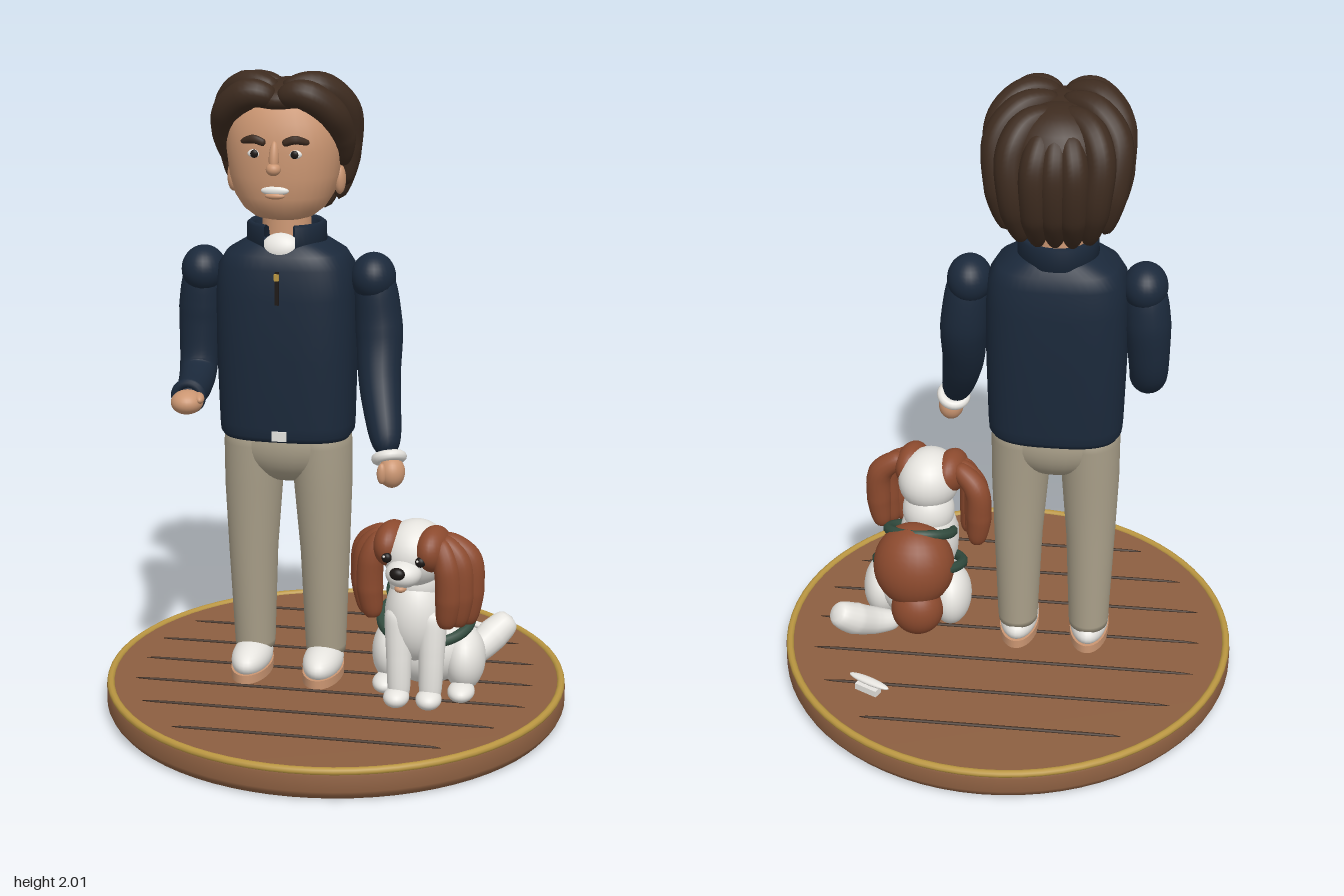
import * as THREE from 'three';
import { mergeVertices } from 'three/addons/utils/BufferGeometryUtils.js';

const paint = (name, color) => new THREE.MeshStandardMaterial({ name, color });
const navy = paint('navy', 0x1b293b), khaki = paint('khaki', 0xaaa08a), skin = paint('skin', 0xcb9672);
const brown = paint('darkBrown', 0x3d2b1f), white = paint('white', 0xe6e4df), wood = paint('wood', 0x8c5f41);
const gold = paint('gold', 0xba9641), rust = paint('rust', 0x8c4a2e), green = paint('green', 0x324c3f);
const black = paint('black', 0x1b1614);
navy.side = THREE.DoubleSide;

function add(parent, name, geo, mat, pos = [0, 0, 0], rot = [0, 0, 0]) {
  const m = new THREE.Mesh(geo, mat);
  m.name = name;
  m.position.set(...pos);
  m.rotation.set(...rot);
  parent.add(m);
  return m;
}

function ball(parent, name, mat, pos, r, rot) {
  const m = add(parent, name, new THREE.SphereGeometry(1, 28, 18), mat, pos, rot);
  m.scale.set(...r);
  return m;
}

// Round-ended tube through points, with a radius for each point
function limb(points, radii, sides = 16, steps = 32) {
  const curve = new THREE.CatmullRomCurve3(points.map(p => new THREE.Vector3(...p)));
  const geo = new THREE.TubeGeometry(curve, steps, 1, sides);
  const p = geo.attributes.position, v = new THREE.Vector3();
  for (let i = 0; i <= steps; i++) {
    const t = i / steps, f = t * (radii.length - 1), k = Math.min(Math.floor(f), radii.length - 2);
    const r = THREE.MathUtils.lerp(radii[k], radii[k + 1], f - k) * Math.sqrt(Math.max(0, 1 - Math.abs(2 * t - 1) ** 10));
    const c = curve.getPointAt(t);
    for (let j = 0; j <= sides; j++) {
      const n = i * (sides + 1) + j;
      v.fromBufferAttribute(p, n).sub(c).multiplyScalar(r).add(c);
      p.setXYZ(n, v.x, v.y, v.z);
    }
  }
  geo.deleteAttribute('uv');
  geo.deleteAttribute('normal');
  const out = mergeVertices(geo, 1e-5);
  out.computeVertexNormals();
  return out;
}

// Stacked rounded-rectangle sections: [y, rx, rz, cx, cz]
function loft(sections, power = 2, n = 36) {
  const pos = [], idx = [], e = 2 / power;
  const first = sections[0], last = sections[sections.length - 1];
  const rows = [[first[0], 0, 0, first[3], first[4]], ...sections, [last[0], 0, 0, last[3], last[4]]];
  rows.forEach(([y, rx, rz, cx = 0, cz = 0], i) => {
    for (let j = 0; j < n; j++) {
      const a = j / n * Math.PI * 2, s = Math.sin(a), c = Math.cos(a);
      pos.push(cx + rx * Math.sign(s) * Math.abs(s) ** e, y, cz + rz * Math.sign(c) * Math.abs(c) ** e);
      if (i < rows.length - 1) {
        const k = (j + 1) % n, q = i * n;
        idx.push(q + j, q + k, q + n + j, q + k, q + n + k, q + n + j);
      }
    }
  });
  const geo = new THREE.BufferGeometry();
  geo.setAttribute('position', new THREE.Float32BufferAttribute(pos, 3));
  geo.setIndex(idx);
  geo.computeVertexNormals();
  return geo;
}

const lathe = (pts, n = 72, ...arc) => new THREE.LatheGeometry(pts.map(p => new THREE.Vector2(...p)), n, ...arc);

function makeBase() {
  const g = new THREE.Group();
  g.name = 'base';
  add(g, 'deck', lathe([[0, 0], [0.69, 0], [0.71, 0.003], [0.722, 0.018], [0.727, 0.03], [0.727, 0.078],
    [0.715, 0.09], [0.7, 0.093], [0, 0.093]]), wood);
  add(g, 'rim', new THREE.TorusGeometry(0.714, 0.012, 10, 72), gold, [0, 0.09, 0], [Math.PI / 2, 0, 0]);
  // Tapered plank grooves
  [0.63, 0.62, 0.55, 0.41].forEach((half, i) => {
    for (const s of i ? [-1, 1] : [1]) {
      const z = s * i * 0.167;
      add(g, 'plankGroove', limb([[-half, 0.094, z], [half, 0.094, z]], [0.006, 0.006], 8), brown);
    }
  });
  // Small chew toy lying on the deck
  ball(g, 'toyTop', white, [0.395, 0.137, -0.377], [0.075, 0.01, 0.016], [0, -0.46, 0]);
  add(g, 'toyFoot', new THREE.BoxGeometry(0.08, 0.022, 0.03), white, [0.4, 0.108, -0.375], [0, -0.46, 0]);
  return g;
}

function makeHead() {
  const g = new THREE.Group();
  g.name = 'head';
  add(g, 'neck', new THREE.CylinderGeometry(0.07, 0.078, 0.16, 28), skin, [0, 1.54, 0]);
  add(g, 'face', loft([[1.565, 0.06, 0.06], [1.575, 0.09, 0.1], [1.6, 0.122, 0.128], [1.64, 0.148, 0.143], [1.7, 0.165, 0.15],
    [1.78, 0.174, 0.152], [1.86, 0.168, 0.145], [1.92, 0.13, 0.11], [1.95, 0.07, 0.06]].map(s => [...s, 0, 0.025]), 2.2), skin);
  ball(g, 'noseBridge', skin, [0, 1.765, 0.178], [0.015, 0.05, 0.018], [-0.2, 0, 0]);
  ball(g, 'noseTip', skin, [0, 1.733, 0.188], [0.022, 0.019, 0.022]);
  ball(g, 'smile', white, [0, 1.667, 0.168], [0.042, 0.014, 0.012]);
  ball(g, 'lowerLip', skin, [0, 1.652, 0.17], [0.03, 0.01, 0.013]);
  for (const s of [-1, 1]) {
    ball(g, 'eye', white, [s * 0.06, 1.775, 0.167], [0.021, 0.013, 0.008]);
    ball(g, 'pupil', black, [s * 0.06, 1.775, 0.172], [0.012, 0.012, 0.006]);
    add(g, 'eyebrow', limb([[s * 0.025, 1.806, 0.177], [s * 0.06, 1.818, 0.174], [s * 0.102, 1.808, 0.158]], [0.011, 0.013, 0.008], 8), brown);
    ball(g, 'ear', skin, [s * 0.163, 1.68, 0.005], [0.018, 0.045, 0.025]);
    // Locks swept outward and back from the centre parting
    const locks = [
      [[0.0, 1.93, 0.125], [0.08, 1.945, 0.135], [0.155, 1.89, 0.1], [0.175, 1.81, 0.04], [0.172, 1.72, 0.0]],
      [[0.0, 1.95, 0.09], [0.1, 1.96, 0.06], [0.168, 1.905, 0.01], [0.178, 1.78, -0.04], [0.17, 1.65, -0.05]],
      [[0.0, 1.955, 0.03], [0.1, 1.95, -0.02], [0.168, 1.88, -0.07], [0.165, 1.74, -0.11], [0.14, 1.6, -0.1]],
      [[0.0, 1.945, -0.04], [0.085, 1.925, -0.09], [0.125, 1.86, -0.14], [0.12, 1.73, -0.16], [0.095, 1.57, -0.11]]];
    locks.forEach(l => add(g, 'sideLock', limb(l.map(([x, y, z]) => [s * x, y, z]), [0.035, 0.046, 0.045, 0.042, 0.025]), brown));
  }
  ball(g, 'scalp', brown, [0, 1.81, -0.045], [0.185, 0.165, 0.155], [-0.15, 0, 0]);
  ball(g, 'crown', brown, [0, 1.925, 0.035], [0.12, 0.052, 0.125]);
  for (let i = -1; i <= 1; i++) {
    const x = i * 0.055;
    add(g, 'backLock', limb([[x * 0.6, 1.92, -0.11], [x, 1.83, -0.172], [x, 1.7, -0.168], [x * 0.9, 1.555, -0.1]], [0.04, 0.045, 0.045, 0.022]), brown);
  }
  return g;
}

function makePerson() {
  const g = new THREE.Group();
  g.name = 'person';
  g.position.x = -0.15;
  // Shoes and trousers
  for (const s of [-1, 1]) {
    const x = s * 0.115;
    const sole = add(g, 'sole', new THREE.CylinderGeometry(1, 1, 0.028, 32), skin, [x, 0.11, 0.03]);
    sole.scale.set(0.063, 1, 0.13);
    ball(g, 'shoe', white, [x, 0.145, 0.03], [0.062, 0.055, 0.128]);
    add(g, 'trouserLeg', loft([[0.165, 0.062, 0.068, x, -0.015], [0.185, 0.064, 0.072, x, -0.015], [0.5, 0.077, 0.085, x, -0.005],
      [0.72, 0.09, 0.1, s * 0.11], [0.86, 0.095, 0.113, s * 0.105], [0.93, 0.095, 0.115, s * 0.1]]), khaki);
  }
  ball(g, 'hips', khaki, [0, 0.87, 0], [0.2, 0.14, 0.127]);
  add(g, 'buckle', new THREE.BoxGeometry(0.045, 0.03, 0.012), white, [0, 0.908, 0.137]);
  // Pullover
  add(g, 'pullover', loft([[0.885, 0.195, 0.128], [0.9, 0.205, 0.135], [0.93, 0.207, 0.138], [1.15, 0.213, 0.149], [1.33, 0.213, 0.15],
    [1.42, 0.205, 0.143], [1.46, 0.18, 0.13], [1.49, 0.13, 0.11], [1.51, 0.08, 0.08]], 2.9, 48), navy);
  add(g, 'collar', lathe([[0.09, 1.47], [0.122, 1.48], [0.12, 1.545], [0.11, 1.553], [0.095, 1.545], [0.085, 1.49]], 40, 0.4, Math.PI * 2 - 0.8), navy);
  ball(g, 'shirtFront', white, [0, 1.487, 0.095], [0.056, 0.042, 0.026], [-0.5, 0, 0]);
  add(g, 'zip', new THREE.BoxGeometry(0.012, 0.1, 0.008), black, [0, 1.37, 0.152], [-0.04, 0, 0]);
  add(g, 'zipPull', new THREE.BoxGeometry(0.014, 0.02, 0.008), gold, [0, 1.405, 0.158]);
  // Right arm, bent forward
  ball(g, 'rightShoulder', navy, [-0.26, 1.39, 0], [0.068, 0.073, 0.08]);
  add(g, 'rightSleeve', limb([[-0.26, 1.42, 0], [-0.275, 1.22, -0.01], [-0.278, 1.08, 0.02], [-0.265, 1.05, 0.12], [-0.25, 1.055, 0.27]], [0.065, 0.07, 0.06, 0.052, 0.044], 20), navy);
  add(g, 'rightCuff', new THREE.TorusGeometry(0.04, 0.014, 10, 28), navy, [-0.25, 1.055, 0.255]);
  ball(g, 'rightHand', skin, [-0.24, 1.053, 0.31], [0.048, 0.036, 0.052]);
  ball(g, 'rightThumb', skin, [-0.205, 1.065, 0.305], [0.016, 0.016, 0.035], [0, 0.3, 0]);
  // Left arm, hanging
  ball(g, 'leftShoulder', navy, [0.265, 1.385, 0], [0.068, 0.075, 0.08]);
  add(g, 'leftSleeve', limb([[0.265, 1.42, 0], [0.285, 1.22, 0.005], [0.295, 1.08, 0.055], [0.34, 0.875, 0.175]], [0.065, 0.073, 0.062, 0.045], 20), navy);
  add(g, 'bracelet', new THREE.TorusGeometry(0.038, 0.016, 10, 28), white, [0.345, 0.873, 0.177], [Math.PI / 2 - 0.5, 0.2, 0]);
  ball(g, 'leftHand', skin, [0.355, 0.832, 0.187], [0.04, 0.048, 0.045]);
  ball(g, 'leftThumb', skin, [0.33, 0.835, 0.22], [0.015, 0.032, 0.015]);
  g.add(makeHead());
  return g;
}

function makeDog() {
  const g = new THREE.Group();
  g.name = 'dog';
  ball(g, 'chest', white, [0.275, 0.36, 0.125], [0.097, 0.15, 0.11]);
  ball(g, 'neck', white, [0.275, 0.47, 0.12], [0.085, 0.09, 0.085]);
  ball(g, 'belly', white, [0.3, 0.23, 0.05], [0.14, 0.12, 0.12]);
  ball(g, 'back', rust, [0.305, 0.34, -0.015], [0.132, 0.14, 0.112], [0.25, 0, 0]);
  ball(g, 'rump', rust, [0.29, 0.2, -0.06], [0.085, 0.09, 0.075]);
  add(g, 'tail', limb([[0.35, 0.14, -0.05], [0.43, 0.16, -0.09], [0.49, 0.205, -0.145], [0.54, 0.25, -0.18]], [0.03, 0.045, 0.052, 0.042]), white);
  for (const s of [-1, 1]) {
    ball(g, 'haunch', white, [0.305 + s * 0.115, 0.2, 0.05 + s * 0.015], [0.065, 0.1, 0.1]);
    ball(g, 'hindPaw', white, [0.3 + s * 0.12, 0.122, 0.13 + s * 0.015], [0.042, 0.03, 0.06]);
    add(g, 'frontLeg', limb([[0.28 + s * 0.05, 0.4, 0.17], [0.283 + s * 0.05, 0.24, 0.195], [0.283 + s * 0.048, 0.1, 0.205]], [0.05, 0.04, 0.034]), white);
    ball(g, 'frontPaw', white, [0.28 + s * 0.05, 0.122, 0.225], [0.04, 0.03, 0.05]);
  }
  // Harness straps, higher at the back and sunk under the coat there
  for (const [y, r, z] of [[0.32, 0.14, 0.045], [0.42, 0.105, 0.07]]) {
    const pts = Array.from({ length: 16 }, (_, i) => {
      const a = i / 16 * Math.PI * 2;
      return new THREE.Vector3(0.295 + r * Math.sin(a), y - 0.04 * Math.cos(a), z + r * 0.88 * Math.cos(a));
    });
    add(g, 'harnessStrap', new THREE.TubeGeometry(new THREE.CatmullRomCurve3(pts, true), 48, 0.017, 8, true), green);
  }
  // Head, turned a little to its right
  const h = new THREE.Group();
  h.name = 'dogHead';
  h.position.set(0.275, 0.57, 0.15);
  h.rotation.y = -0.22;
  g.add(h);
  ball(h, 'skull', white, [0, 0, 0], [0.1, 0.102, 0.112]);
  ball(h, 'muzzle', white, [0, -0.035, 0.1], [0.055, 0.042, 0.058]);
  ball(h, 'nose', black, [0, -0.02, 0.153], [0.024, 0.019, 0.017]);
  ball(h, 'tongue', skin, [0, -0.075, 0.125], [0.018, 0.012, 0.02]);
  for (const s of [-1, 1]) {
    ball(h, 'facePatch', rust, [s * 0.068, 0.028, 0.025], [0.052, 0.07, 0.085]);
    ball(h, 'eye', black, [s * 0.054, 0.008, 0.103], [0.016, 0.016, 0.013]);
    ball(h, 'eyeGlint', white, [s * 0.054 - 0.005, 0.014, 0.115], [0.004, 0.004, 0.003]);
    // Long ear made of overlapping locks
    [-0.012, 0.025, 0.055].forEach((z, i) => {
      const out = [0.175, 0.155, 0.128][i];
      add(h, 'earLock', limb([[s * 0.085, 0.065, 0.01 + z * 0.5], [s * (out - 0.01), 0.0, z], [s * out, -0.1, z], [s * (out - 0.01), -0.215, z * 0.9]], [0.03, 0.04, 0.041, 0.03]), rust);
    });
  }
  return g;
}

export function createModel() {
  const model = new THREE.Group();
  model.name = 'personWithDog';
  model.add(makeBase(), makePerson(), makeDog());
  return model;
}
